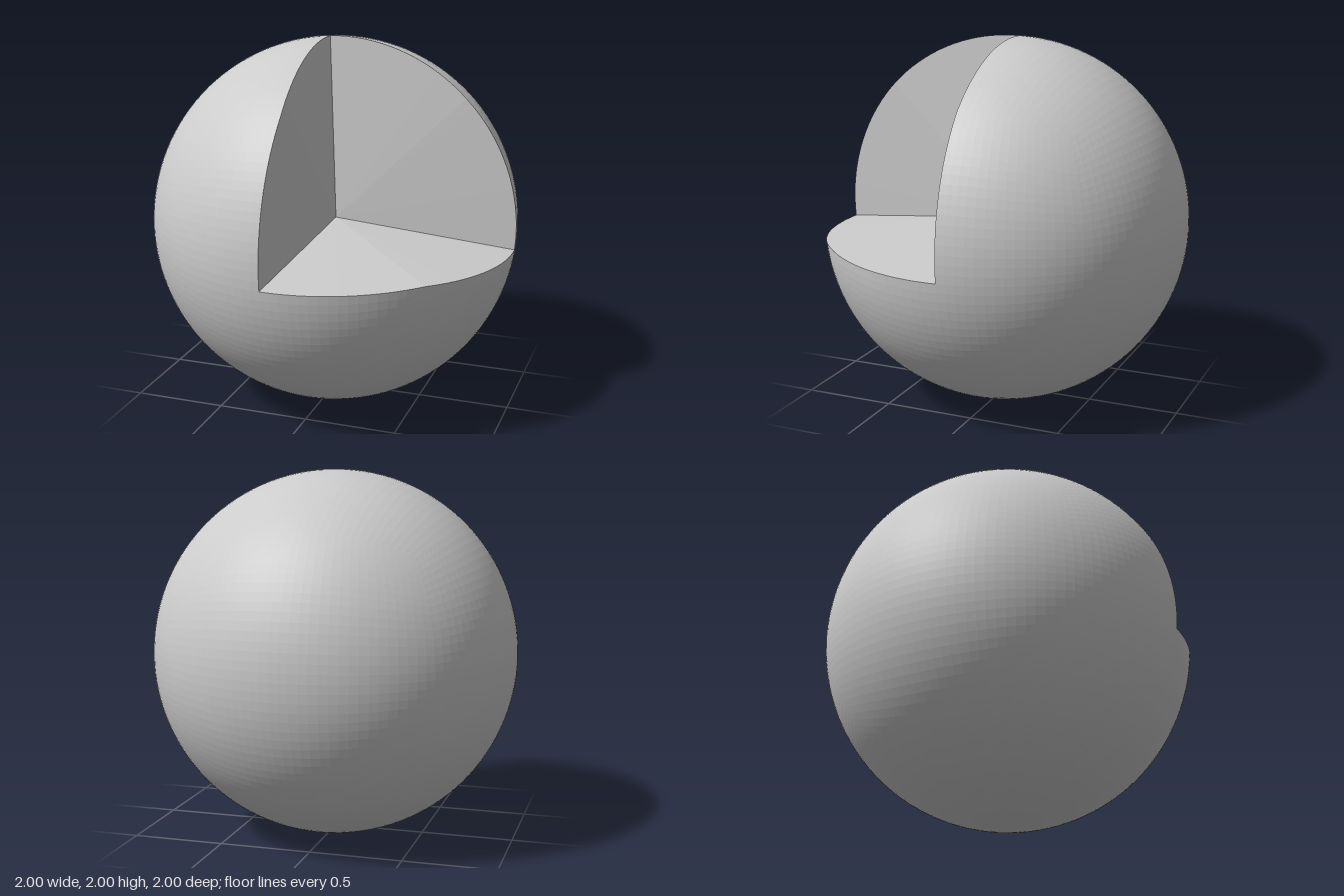
import * as THREE from 'three';

const SEG = 32;            // quads along each side of the spherified cube
const STEP = 2 / SEG;
const LOW = new THREE.Vector3(-STEP, -2 * STEP, -STEP); // lower limits of the cut-out

// Maps a point on the cube (-1..1) to the unit sphere with even spacing
function toSphere(p) {
  const [x, y, z] = [p.x, p.y, p.z].map((s) => Math.SQRT2 * Math.sin((s * Math.PI) / 4));
  const k = (a, b) => Math.sqrt(1 - (a * a) / 2 - (b * b) / 2 + (a * a * b * b) / 3);
  return new THREE.Vector3(x * k(y, z), y * k(z, x), z * k(x, y));
}

function makeMesh(name, points) {
  const geometry = new THREE.BufferGeometry().setFromPoints(points);
  geometry.computeVertexNormals();
  const material = new THREE.MeshStandardMaterial({ color: 0xcccccc, flatShading: true });
  const mesh = new THREE.Mesh(geometry, material);
  mesh.name = name;
  return mesh;
}

// Outer skin: cube grid without the quads inside the cut-out, rounded to a sphere
function makeShell() {
  const box = new THREE.BoxGeometry(2, 2, 2, SEG, SEG, SEG);
  const pos = box.attributes.position;
  const points = [];
  for (let i = 0; i < box.index.count; i += 6) {
    const corners = [];
    for (let j = 0; j < 6; j++) {
      corners.push(new THREE.Vector3().fromBufferAttribute(pos, box.index.getX(i + j)));
    }
    const bounds = new THREE.Box3().setFromPoints(corners);
    const mid = bounds.getCenter(new THREE.Vector3());
    if (mid.x > LOW.x && mid.y > LOW.y && mid.z > LOW.z) continue;
    points.push(...corners.map(toSphere));
  }
  return makeMesh('sphereShell', points);
}

// Cut face: fan from the sphere centre to the rim running over two cube faces
function makeCutFace(name, start, bend, end) {
  const rim = [];
  for (const [a, b] of [[start, bend], [bend, end]]) {
    const n = Math.round(a.distanceTo(b) / STEP);
    for (let i = 0; i < n; i++) rim.push(toSphere(a.clone().lerp(b, i / n)));
  }
  rim.push(toSphere(end));
  const points = [];
  for (let i = 0; i < rim.length - 1; i++) {
    points.push(new THREE.Vector3(), rim[i], rim[i + 1]);
  }
  return makeMesh(name, points);
}

export function createModel() {
  const group = new THREE.Group();
  group.name = 'cutSphere';
  const v = (x, y, z) => new THREE.Vector3(x, y, z);

  // Corners of the cut-out on the cube
  const top = v(LOW.x, 1, LOW.z);
  const front = v(LOW.x, LOW.y, 1);
  const side = v(1, LOW.y, LOW.z);

  group.add(
    makeShell(),
    makeCutFace('cutFloor', front, v(1, LOW.y, 1), side),
    makeCutFace('cutSideWall', top, v(LOW.x, 1, 1), front),
    makeCutFace('cutBackWall', side, v(1, 1, LOW.z), top),
  );
  group.children.forEach((mesh) => (mesh.position.y = 1));
  return group;
}
